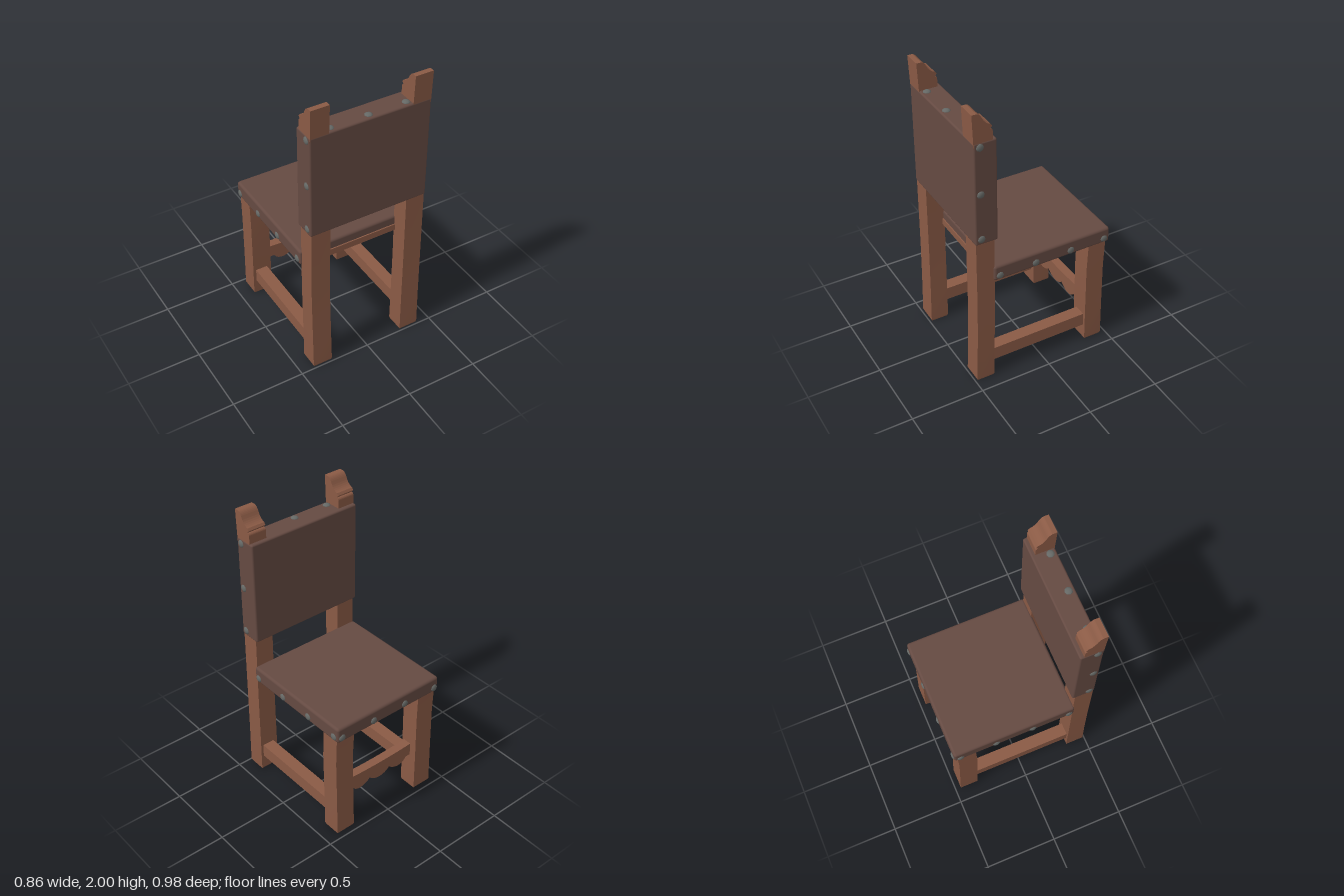
import * as THREE from 'three';
import { RoundedBoxGeometry } from 'three/addons/geometries/RoundedBoxGeometry.js';

const wood = new THREE.MeshStandardMaterial({ color: 0x8a5a45 });
const leather = new THREE.MeshStandardMaterial({ color: 0x654a42 });
const iron = new THREE.MeshStandardMaterial({ color: 0x666966 });

function add(parent, name, geometry, material, x = 0, y = 0, z = 0) {
  const mesh = new THREE.Mesh(geometry, material);
  mesh.name = name;
  mesh.position.set(x, y, z);
  parent.add(mesh);
  return mesh;
}

// Square post following sections [y, x0, x1, z0, z1] from bottom to top
function post(sections, side) {
  const n = sections.length - 1;
  const g = new THREE.BoxGeometry(1, 1, 1, 1, n, 1);
  const p = g.attributes.position;
  for (let i = 0; i < p.count; i++) {
    const [y, x0, x1, z0, z1] = sections[Math.round((p.getY(i) + 0.5) * n)];
    const c = side * (x0 + x1) / 2;
    p.setXYZ(i, c + p.getX(i) * (x1 - x0), y, p.getZ(i) < 0 ? z0 : z1);
  }
  g.computeVertexNormals();
  return g;
}

// Upholstered panel between two corners, with softly swollen main face
function panel(x, y0, y1, z0, z1, r) {
  const g = new RoundedBoxGeometry(2 * x, y1 - y0, z1 - z0, 3, r);
  g.translate(0, (y0 + y1) / 2, (z0 + z1) / 2);
  return g;
}

// Domed nail head facing along a direction
const nailGeometry = new THREE.SphereGeometry(0.027, 8, 3, 0, Math.PI * 2, 0, Math.PI / 2);
nailGeometry.scale(1, 0.5, 1);
const up = new THREE.Vector3(0, 1, 0);
function nail(parent, x, y, z, dx, dy, dz) {
  const m = add(parent, 'nail', nailGeometry, iron, x, y, z);
  m.quaternion.setFromUnitVectors(up, new THREE.Vector3(dx, dy, dz));
}

// Carved post top, drawn in side profile (z, y)
function finialGeometry() {
  const s = new THREE.Shape();
  s.moveTo(0.478, 1.78);
  s.lineTo(0.487, 2.0);
  s.lineTo(0.455, 2.0);
  s.quadraticCurveTo(0.435, 1.995, 0.422, 1.965);
  s.quadraticCurveTo(0.405, 1.925, 0.368, 1.915);
  s.lineTo(0.357, 1.9);
  s.lineTo(0.37, 1.885);
  s.quadraticCurveTo(0.355, 1.88, 0.355, 1.865);
  s.lineTo(0.353, 1.78);
  s.closePath();
  const g = new THREE.ExtrudeGeometry(s, { depth: 0.125, bevelEnabled: false, curveSegments: 6 });
  g.rotateY(-Math.PI / 2); // shape x becomes z
  g.translate(0.0625, 0, 0);
  return g;
}

// Scalloped stretcher between the front legs
function apronGeometry() {
  const s = new THREE.Shape();
  s.moveTo(-0.3, 0.365);
  s.lineTo(-0.3, 0.27);
  s.lineTo(-0.235, 0.27);
  s.bezierCurveTo(-0.2, 0.21, -0.13, 0.225, -0.085, 0.268);
  s.bezierCurveTo(-0.04, 0.218, 0.04, 0.218, 0.085, 0.268);
  s.bezierCurveTo(0.13, 0.225, 0.2, 0.21, 0.235, 0.27);
  s.lineTo(0.3, 0.27);
  s.lineTo(0.3, 0.365);
  s.quadraticCurveTo(0, 0.342, -0.3, 0.365);
  return new THREE.ExtrudeGeometry(s, { depth: 0.06, bevelEnabled: false, curveSegments: 8 });
}

export function createModel() {
  const chair = new THREE.Group();
  chair.name = 'chair';

  // Legs, carved tops and side stretchers, mirrored
  const rearLeg = [
    [0, 0.272, 0.4, 0.368, 0.482],
    [0.015, 0.268, 0.405, 0.36, 0.487],
    [0.3, 0.272, 0.406, 0.357, 0.48],
    [0.6, 0.276, 0.408, 0.353, 0.475],
    [1.2, 0.273, 0.405, 0.35, 0.475],
  ];
  const frontLeg = [
    [0, 0.274, 0.402, -0.455, -0.34],
    [0.015, 0.268, 0.408, -0.462, -0.334],
    [0.3, 0.272, 0.408, -0.457, -0.33],
    [0.6, 0.274, 0.41, -0.452, -0.325],
    [0.82, 0.27, 0.41, -0.46, -0.333],
  ];
  const finial = finialGeometry();
  for (const side of [-1, 1]) {
    add(chair, 'rearLeg', post(rearLeg, side), wood);
    add(chair, 'frontLeg', post(frontLeg, side), wood);
    add(chair, 'finial', finial, wood, side * 0.3475);
    add(chair, 'sideStretcher', new THREE.BoxGeometry(0.085, 0.095, 0.74), wood, side * 0.345, 0.163, 0.01);
  }
  add(chair, 'frontApron', apronGeometry(), wood, 0, 0, -0.405);

  // Seat with a wooden rail at its rear edge
  const seat = new THREE.Group();
  seat.name = 'seat';
  chair.add(seat);
  add(seat, 'seatCushion', panel(0.42, 0.79, 0.9, -0.482, 0.36, 0.018), leather);
  add(seat, 'seatRail', new THREE.BoxGeometry(0.6, 0.045, 0.08), wood, 0, 0.8125, 0.328);
  for (const z of [0.32, 0.065, -0.19, -0.44])
    for (const side of [-1, 1]) nail(seat, side * 0.417, 0.825, z, side, 0, 0);
  for (const x of [-0.385, -0.13, 0.13, 0.385]) nail(seat, x, 0.825, -0.479, 0, 0, -1);

  // Backrest
  const back = new THREE.Group();
  back.name = 'backrest';
  chair.add(back);
  add(back, 'backPanel', panel(0.413, 1.1, 1.812, 0.328, 0.48, 0.012), leather);
  for (const y of [1.14, 1.46, 1.78])
    for (const side of [-1, 1]) nail(back, side * 0.41, y, 0.44, side, 0, 0);
  for (const x of [-0.258, 0, 0.258]) nail(back, x, 1.81, 0.44, 0, 1, 0);

  return chair;
}
